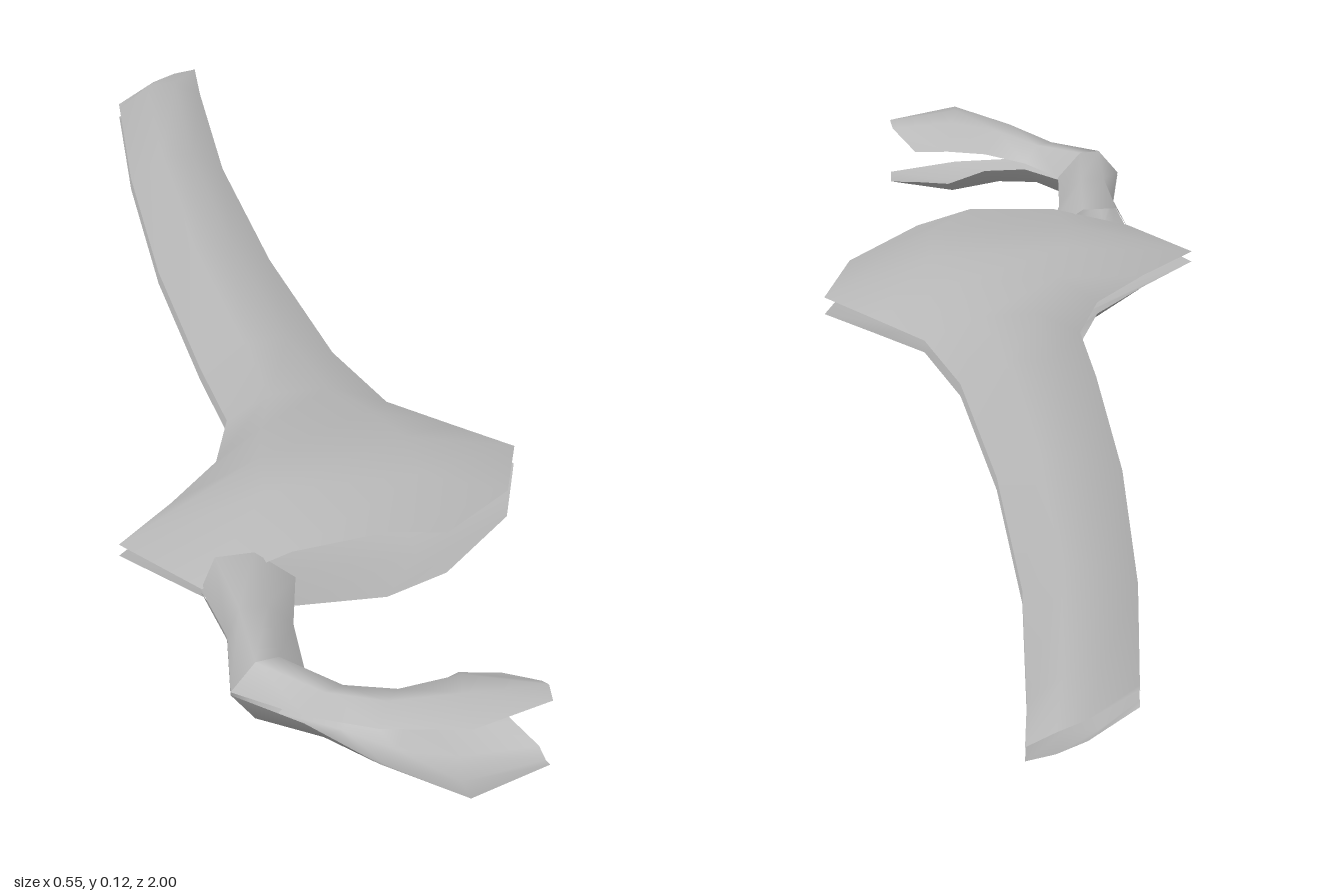
import * as THREE from 'three';

// Each section runs left edge, left crown, right crown, right edge as [x, y, z].
const tipSections = [
  [[0.01, 0.072, -0.89], [0.08, 0.075, -0.955], [0.12, 0.075, -0.98], [0.158, 0.07, -1]],
  [[0.008, 0.071, -0.875], [0.055, 0.1, -0.885], [0.1, 0.1, -0.89], [0.143, 0.071, -0.9]],
];

// Straight blade sections: z, left x, right x
const bladeSections = [
  [-0.62, -0.03, 0.112], [-0.3, -0.06, 0.104], [0, -0.07, 0.117],
].map(([z, l, r]) => [
  [l, 0.07, z], [l + (r - l) * 0.34, 0.1, z], [l + (r - l) * 0.66, 0.1, z], [r, 0.07, z],
]);

// Flared guard with its raised front rim
const guardSections = [
  [[-0.07, 0.07, 0.155], [-0.012, 0.102, 0.155], [0.07, 0.102, 0.155], [0.15, 0.07, 0.155]],
  [[-0.11, 0.07, 0.26], [-0.05, 0.112, 0.26], [0.1, 0.112, 0.25], [0.215, 0.072, 0.24]],
  [[-0.19, 0.07, 0.35], [-0.075, 0.12, 0.35], [0.12, 0.12, 0.34], [0.277, 0.074, 0.32]],
  [[-0.277, 0.069, 0.435], [-0.09, 0.121, 0.44], [0.11, 0.12, 0.44], [0.23, 0.08, 0.44]],
  [[-0.2, 0.066, 0.56], [-0.085, 0.1, 0.555], [0.04, 0.108, 0.55], [0.12, 0.09, 0.54]],
];

const gripSections = [
  [[-0.2, 0.063, 0.555], [-0.18, 0.1, 0.545], [-0.13, 0.1, 0.545], [-0.08, 0.063, 0.555]],
  [[-0.195, 0.063, 0.67], [-0.18, 0.1, 0.67], [-0.145, 0.1, 0.67], [-0.11, 0.063, 0.66]],
  [[-0.22, 0.063, 0.79], [-0.19, 0.1, 0.79], [-0.16, 0.1, 0.785], [-0.125, 0.063, 0.78]],
];

// Hooked pommel that curls and spreads outward
const pommelSections = [
  gripSections[2],
  [[-0.15, 0.066, 0.865], [-0.125, 0.092, 0.86], [-0.1, 0.092, 0.85], [-0.08, 0.066, 0.84]],
  [[-0.08, 0.085, 0.94], [-0.065, 0.105, 0.915], [-0.045, 0.103, 0.89], [-0.02, 0.075, 0.865]],
  [[0.012, 0.108, 1], [0.018, 0.122, 0.945], [0.028, 0.118, 0.9], [0.04, 0.088, 0.85]],
  [[0.12, 0.105, 0.96], [0.122, 0.113, 0.938], [0.12, 0.106, 0.918], [0.09, 0.086, 0.86]],
];

// Loft an open shell through the sections.
function loft(sections) {
  const n = sections[0].length;
  const index = [];
  for (let i = 0; i < sections.length - 1; i++) {
    for (let j = 0; j < n - 1; j++) {
      const a = i * n + j, b = a + n;
      index.push(a, b, a + 1, b, b + 1, a + 1);
    }
  }
  const geometry = new THREE.BufferGeometry();
  geometry.setAttribute('position', new THREE.Float32BufferAttribute(sections.flat(2), 3));
  geometry.setIndex(index);
  geometry.computeVertexNormals();
  return geometry;
}

export function createModel() {
  const model = new THREE.Group();
  model.name = 'sword';
  const steel = new THREE.MeshStandardMaterial({ color: 0xb8b8b8, side: THREE.DoubleSide });
  steel.name = 'light grey steel';

  const parts = {
    bladeAndGuard: loft([...tipSections, ...bladeSections, ...guardSections]),
    grip: loft(gripSections),
    pommel: loft(pommelSections),
  };

  // Two mirrored shells with a thin gap between them
  for (const name of ['upperShell', 'lowerShell']) {
    const shell = new THREE.Group();
    shell.name = name;
    for (const [part, geometry] of Object.entries(parts)) {
      const mesh = new THREE.Mesh(geometry, steel);
      mesh.name = part;
      shell.add(mesh);
    }
    if (name === 'lowerShell') {
      shell.scale.y = -1;
      shell.position.y = 0.122;
    }
    model.add(shell);
  }
  return model;
}
